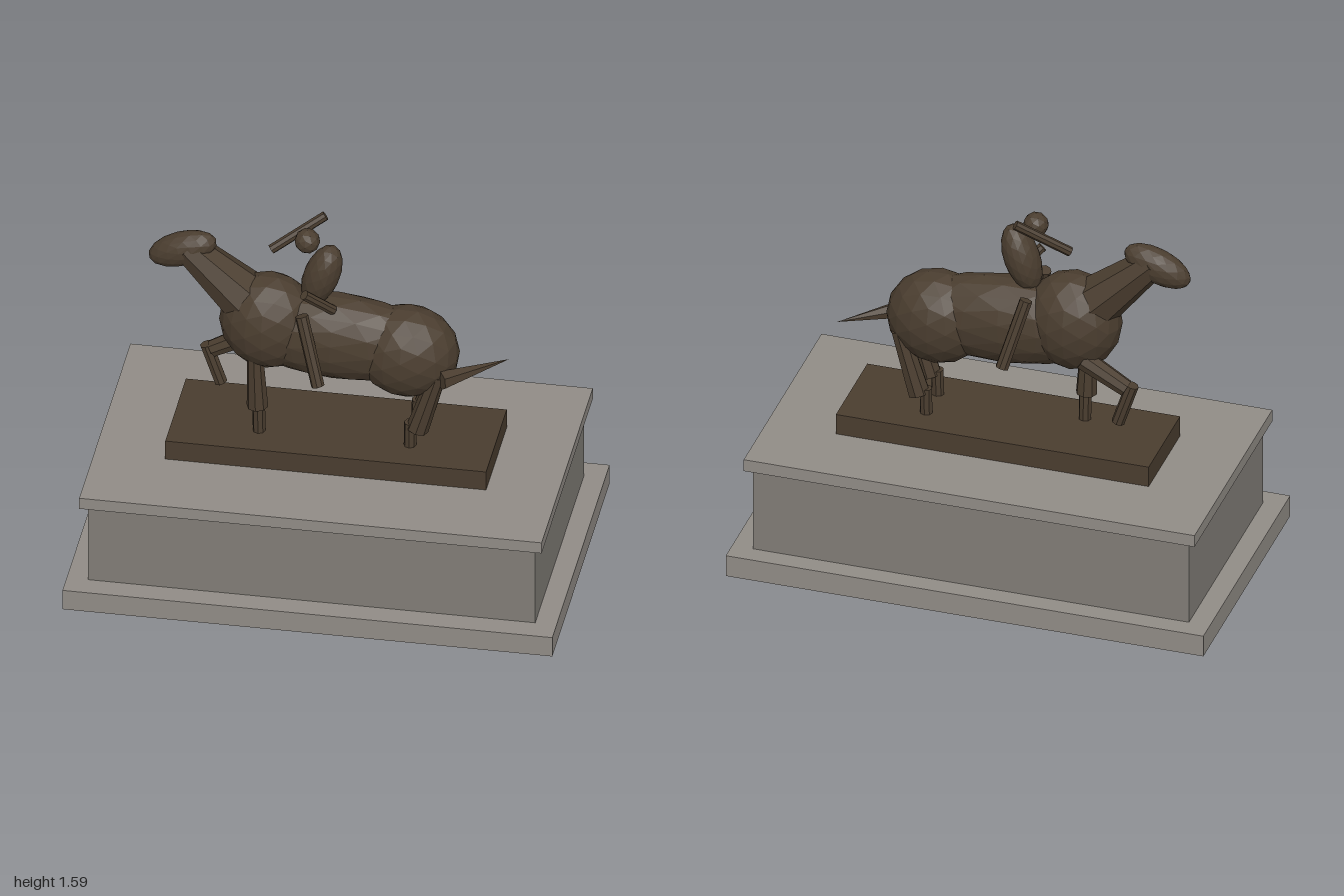
import * as THREE from 'three';

export function createModel() {
  const model = new THREE.Group();
  const bronze = new THREE.MeshStandardMaterial({ color: 0x4a3d2f, flatShading: true });
  const stone = new THREE.MeshStandardMaterial({ color: 0x918c86, flatShading: true });
  const darkStone = new THREE.MeshStandardMaterial({ color: 0x817d77, flatShading: true });

  function add(name, geometry, material = bronze) {
    const mesh = new THREE.Mesh(geometry, material);
    mesh.name = name;
    model.add(mesh);
    return mesh;
  }

  // Slab whose top and bottom rise gently towards +x while its sides stay upright
  const slope = 0.0217;
  function slab(name, halfX, halfZ, bottom, top, material) {
    const g = new THREE.BoxGeometry(halfX * 2, top - bottom, halfZ * 2);
    g.translate(0, (top + bottom) / 2, 0);
    const p = g.attributes.position;
    for (let i = 0; i < p.count; i++) p.setY(i, p.getY(i) + slope * p.getX(i));
    g.computeVertexNormals();
    add(name, g, material);
  }

  // Faceted ellipsoid, tilted in the side plane
  function blob(name, center, radii, tilt = 0, detail = 1) {
    const mesh = add(name, new THREE.IcosahedronGeometry(1, detail));
    mesh.position.set(...center);
    mesh.scale.set(...radii);
    mesh.rotation.z = tilt;
  }

  // Tapered rod between two points
  function limb(name, from, to, r0, r1 = r0, sides = 8) {
    const a = new THREE.Vector3(...from);
    const d = new THREE.Vector3(...to).sub(a);
    const mesh = add(name, new THREE.CylinderGeometry(r1, r0, d.length(), sides));
    mesh.position.copy(a).addScaledVector(d, 0.5);
    mesh.quaternion.setFromUnitVectors(new THREE.Vector3(0, 1, 0), d.normalize());
  }

  // Pedestal
  slab('pedestalFoot', 1, 0.6, 0.022, 0.115, stone);
  slab('pedestalBlock', 0.913, 0.511, 0.115, 0.481, darkStone);
  slab('pedestalCap', 0.944, 0.537, 0.481, 0.533, stone);
  slab('plinth', 0.655, 0.217, 0.533, 0.622, bronze);

  // Horse body
  blob('chest', [-0.275, 1.11, 0], [0.2, 0.213, 0.16], 0, 2);
  blob('barrel', [0, 1.07, 0], [0.45, 0.19, 0.145], -0.04, 2);
  blob('hindquarters', [0.292, 1.035, 0], [0.212, 0.2, 0.165], 0, 2);
  limb('neck', [-0.35, 1.19, 0], [-0.61, 1.43, 0], 0.115, 0.065);
  blob('horseHead', [-0.626, 1.412, 0], [0.148, 0.073, 0.063], 0.4, 2);
  limb('tail', [0.45, 0.985, 0.11], [0.69, 0.985, -0.085], 0.042, 0, 6);

  // Standing foreleg
  limb('foreLegUpper', [-0.315, 1.0, 0.08], [-0.305, 0.735, 0.08], 0.032, 0.044);
  limb('foreLegLower', [-0.3, 0.77, 0.08], [-0.298, 0.61, 0.08], 0.026);
  // Raised foreleg
  limb('raisedLegUpper', [-0.34, 0.98, -0.08], [-0.52, 0.875, -0.08], 0.044, 0.036);
  limb('raisedLegLower', [-0.545, 0.893, -0.08], [-0.485, 0.715, -0.08], 0.027);

  for (const side of [1, -1]) {
    // Hind legs
    limb('hindLegUpper', [0.43, 0.99, side * 0.08], [0.348, 0.712, side * 0.08], 0.036, 0.046);
    limb('hindLegLower', [0.32, 0.74, side * 0.08], [0.318, 0.62, side * 0.08], 0.026);
    // Rider's legs
    limb('riderLeg', [-0.115, 1.24, side * 0.13], [-0.035, 0.955, side * 0.2], 0.027);
  }

  // Rider
  blob('riderTorso', [-0.058, 1.36, 0], [0.073, 0.15, 0.077], -0.33, 2);
  blob('riderHead', [-0.117, 1.52, 0], [0.052, 0.052, 0.052]);
  limb('raisedArm', [-0.27, 1.435, -0.03], [-0.065, 1.57, -0.115], 0.02);
  limb('reinArm', [-0.105, 1.345, 0.13], [0, 1.235, 0.06], 0.021);

  return model;
}
